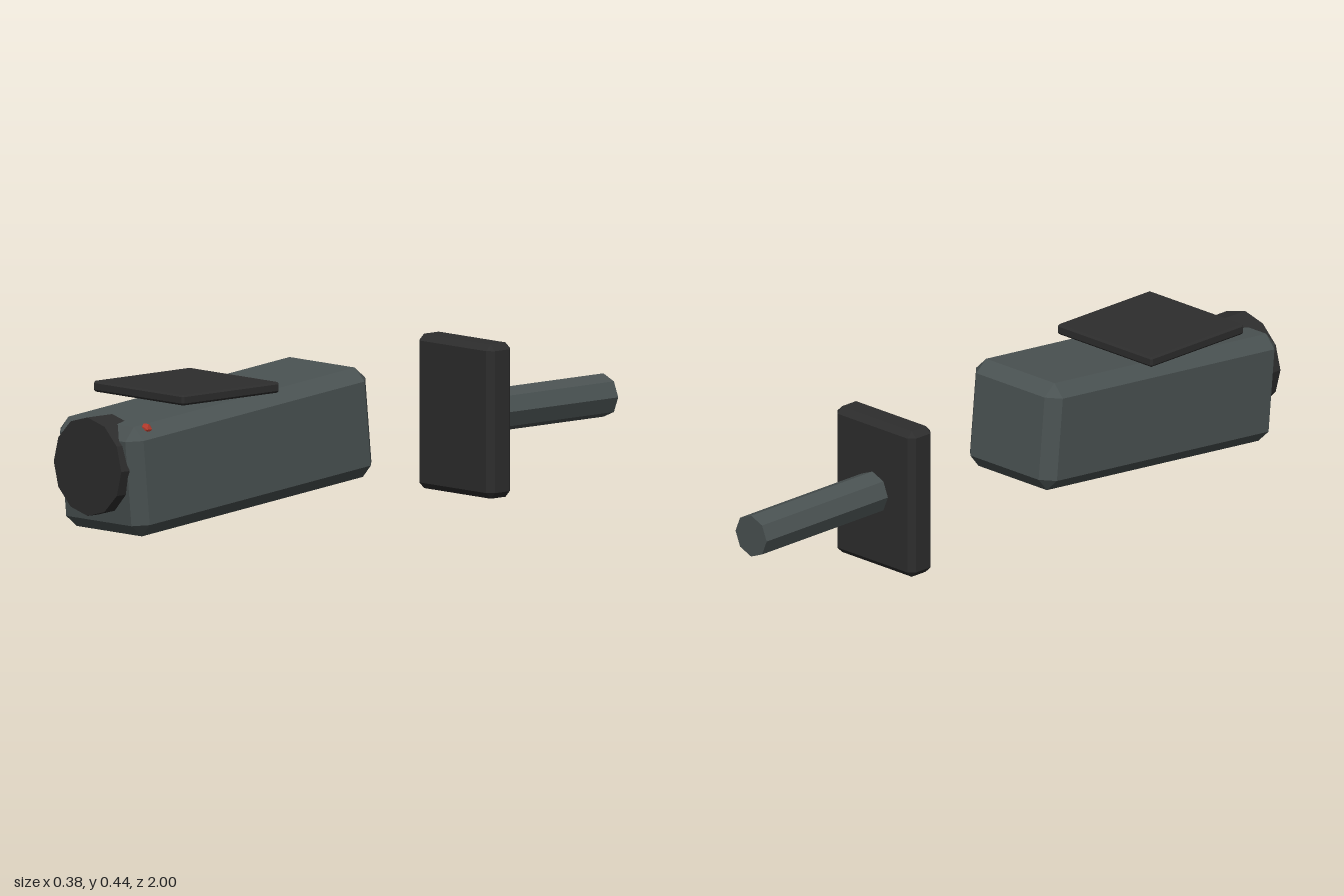
import * as THREE from 'three';
import { ConvexGeometry } from 'three/addons/geometries/ConvexGeometry.js';

function material(name, color) {
  const m = new THREE.MeshStandardMaterial({ color });
  m.name = name;
  return m;
}

// Box with flat bevels: three inset copies of the corners, wrapped in a hull
function bevelBox(w, h, d, c) {
  const points = [];
  for (const x of [-1, 1]) for (const y of [-1, 1]) for (const z of [-1, 1]) {
    const [a, b, e] = [w / 2, h / 2, d / 2];
    points.push(
      new THREE.Vector3(x * a, y * (b - c), z * (e - c)),
      new THREE.Vector3(x * (a - c), y * b, z * (e - c)),
      new THREE.Vector3(x * (a - c), y * (b - c), z * e)
    );
  }
  return new ConvexGeometry(points);
}

// Faceted cylinder lying along z
function rod(radius, length, sides) {
  return new THREE.CylinderGeometry(radius, radius, length, sides)
    .rotateX(Math.PI / 2).toNonIndexed();
}

export function createModel() {
  const group = new THREE.Group();
  const grey = material('slate grey', 0x4a5252);
  const dark = material('charcoal', 0x2d2d2d);
  const red = material('indicator red', 0xb0392b);

  const add = (name, geometry, mat, x, y, z) => {
    geometry.computeVertexNormals();
    const mesh = new THREE.Mesh(geometry, mat);
    mesh.name = name;
    mesh.position.set(x, y, z);
    group.add(mesh);
    return mesh;
  };

  // Camera housing, nose tipped down
  add('housing', bevelBox(0.348, 0.32, 0.935, 0.037), grey, 0, 0.23, 0.503).rotation.x = 0.098;
  // Lens set into the front
  add('lens', rod(0.142, 0.096, 12), dark, 0, 0.223, 0.952);
  // Sun shade above the housing
  add('sunShade', bevelBox(0.38, 0.031, 0.377, 0.006), dark, 0, 0.4145, 0.617);
  // Mounting plate and its arm
  add('mountPlate', bevelBox(0.316, 0.445, 0.093, 0.018), dark, 0, 0.2225, -0.4625);
  add('mountArm', rod(0.0625, 0.5, 8), grey, 0, 0.226, -0.75);
  // Small status light on the upper front edge
  add('statusLight', new THREE.IcosahedronGeometry(0.018, 0), red, 0.143, 0.338, 0.905);

  return group;
}
